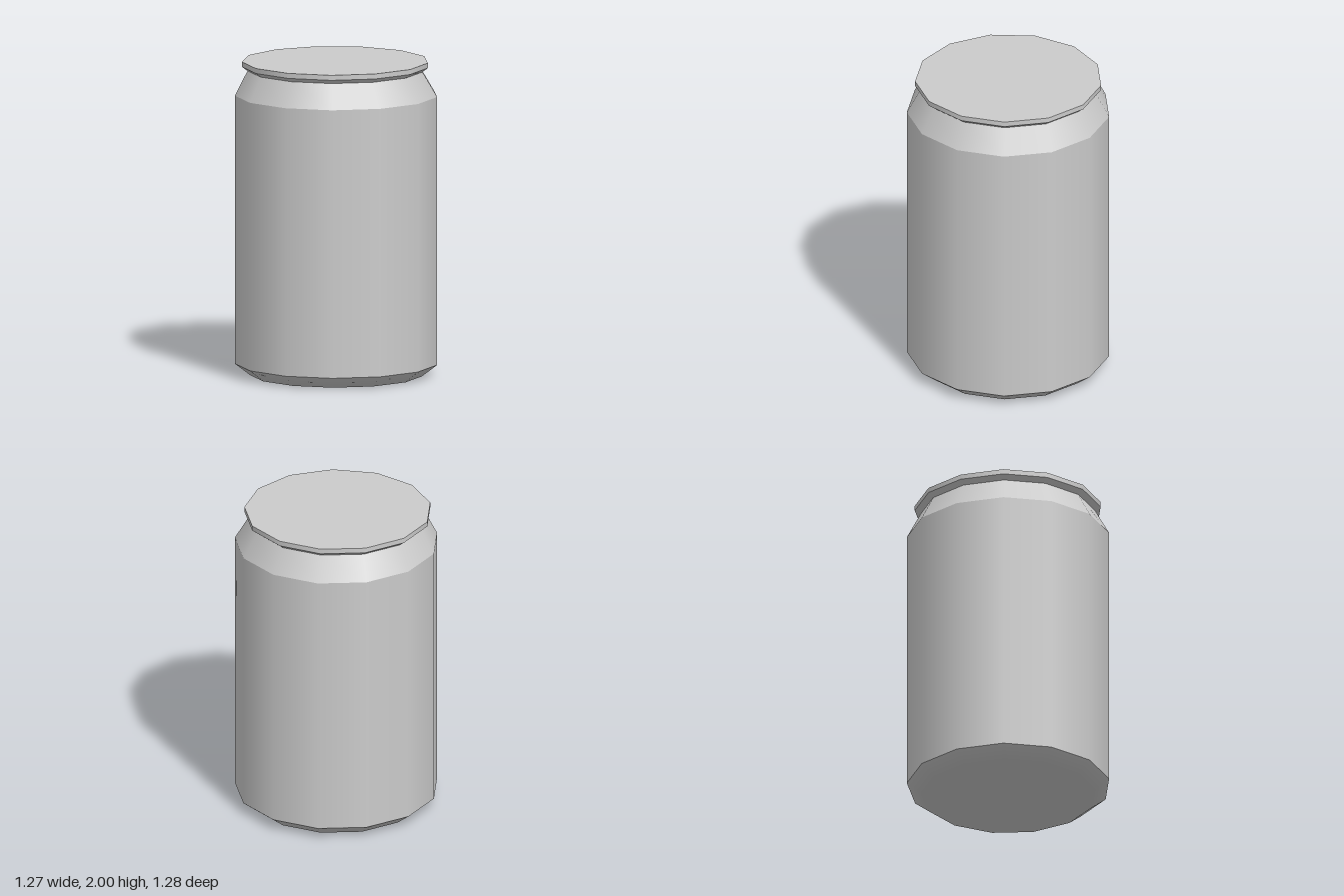
import * as THREE from 'three';

const SIDES = 13;

// One smooth band of the can; separate bands keep the edges between them sharp.
function band(name, profile, material) {
  const points = profile.map(([r, y]) => new THREE.Vector2(r, y));
  const geometry = new THREE.LatheGeometry(points, SIDES, Math.PI / 2);
  // The neck and lid sit very slightly off the body's axis.
  const pos = geometry.attributes.position;
  for (let i = 0; i < pos.count; i++) {
    const lean = THREE.MathUtils.clamp((pos.getY(i) - 1.785) / 0.183, 0, 1);
    pos.setX(i, pos.getX(i) - 0.011 - 0.008 * lean);
  }
  const mesh = new THREE.Mesh(geometry, material);
  mesh.name = name;
  return mesh;
}

export function createModel() {
  const can = new THREE.Group();
  can.name = 'can';
  const metal = new THREE.MeshStandardMaterial({ color: 0xcccccc });

  // Profiles run upward as [radius, height].
  const bands = {
    base: [[0, 0], [0.545, 0], [0.643, 0.075]],
    body: [[0.643, 0.075], [0.643, 1.785]],
    shoulder: [[0.643, 1.785], [0.556, 1.942]],
    neckFlare: [[0.556, 1.942], [0.591, 1.968]],
    rim: [[0.591, 1.968], [0.591, 2]],
    lid: [[0.591, 2], [0, 2]],
  };
  for (const [name, profile] of Object.entries(bands)) {
    can.add(band(name, profile, metal));
  }
  return can;
}
